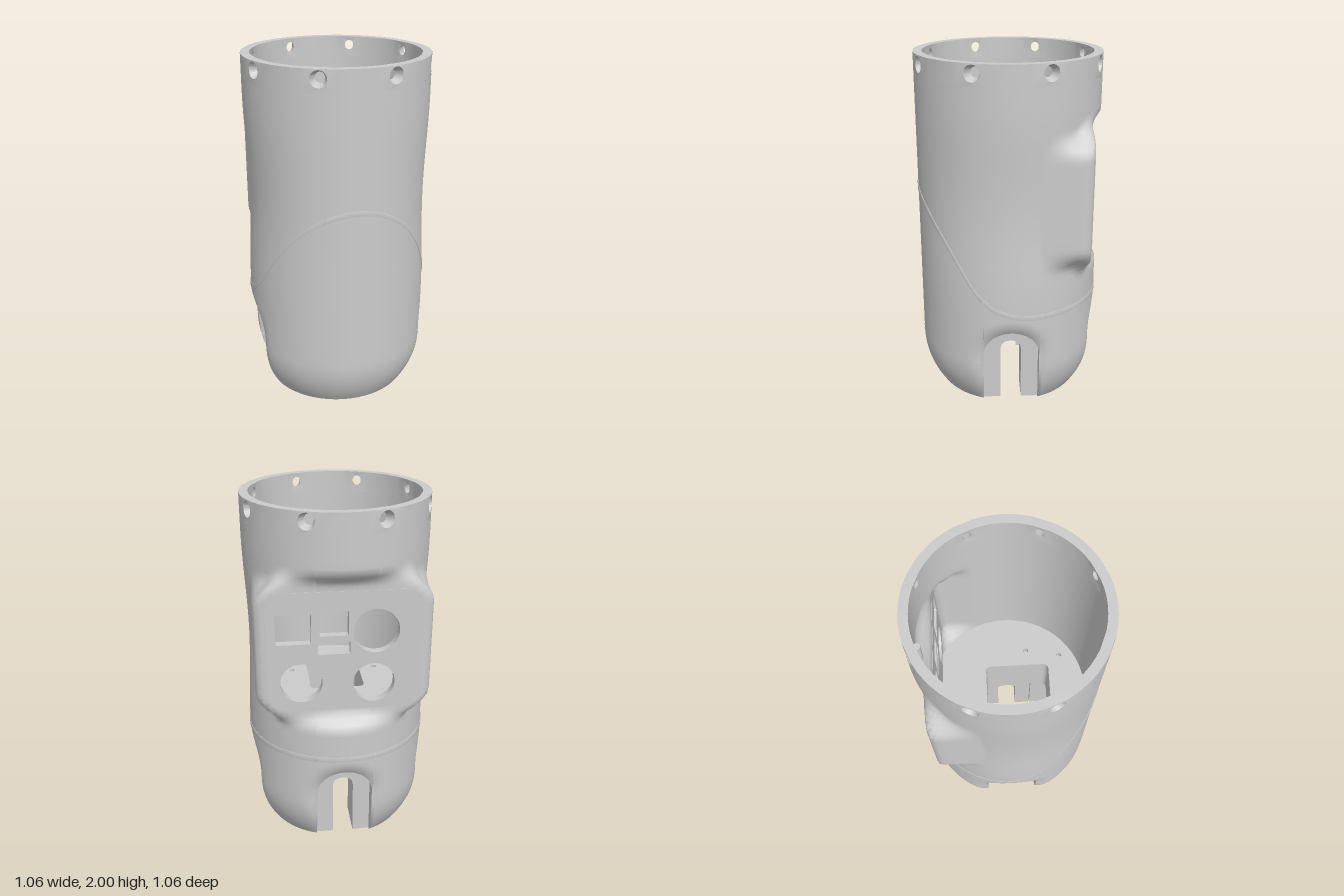
import * as THREE from 'three';
import { mergeGeometries, mergeVertices, toCreasedNormals } from 'three/addons/utils/BufferGeometryUtils.js';

const { sin, cos, PI, abs, hypot, min, max, asin } = Math;
const smooth = THREE.MathUtils.smoothstep;
const mix = THREE.MathUtils.lerp;
const material = new THREE.MeshStandardMaterial({ color: 0xcccccc, side: THREE.DoubleSide });

const NOTCH = 0.16, ARCH_Y = 0.33, NOMINAL = 0.5, BAND_Y = 1.88;
const PANEL_Y = 1.23, FLOOR_Y = 0.85;
const notchAngle = asin(NOTCH / NOMINAL);

// Rounded rectangle distance, used for the rear panel outline
function rectDistance(x, y, hw, hh, r) {
  const qx = abs(x) - hw + r, qy = abs(y) - hh + r;
  return hypot(max(qx, 0), max(qy, 0)) + min(max(qx, qy), 0) - r;
}

// Radius of the tube with a flat rear panel that has side wings
function panelRadius(th, y, base, hw, back) {
  if (cos(th) >= 0) return base;
  const s = abs(sin(th)) / hw, c = -cos(th) / back;
  const box = Math.pow(s ** 20 + c ** 20, -1 / 20);
  const target = c > s ? box : max(base, box);
  const d = rectDistance(target * sin(th), y - PANEL_Y, 0.55, 0.42, 0.25);
  return mix(base, target, 1 - smooth(d, -0.05, 0.04));
}

// Outer skin: tapered foot, slight waist, rear panel, softened notch rims
function outer({ q, rel }, y, lift = 0) {
  const th = q * PI / 2 + rel;
  let r = y < 0.3 ? 0.43 + 0.095 * (1 - (1 - y / 0.3) ** 2.2) : 0.525;
  if (y > 0.6 && y < 1.8) r -= 0.02 * sin(th) ** 2 * sin(PI * (y - 0.6) / 1.2) ** 2;
  r = panelRadius(th, y, r, 0.485, 0.445) + lift;
  let a = rel;
  if (q && y < 0.7) {
    const l = NOMINAL * sin(rel);
    const d = (y > ARCH_Y ? hypot(l, y - ARCH_Y) : abs(l)) - NOTCH;
    const t = THREE.MathUtils.clamp(1 - d / 0.09, 0, 1);
    r -= 0.03 * t * t * smooth(y, -0.05, 0.3);
    const fade = (1 - smooth(abs(rel), 0.35, 0.75)) * (1 - smooth(y, 0.5, 0.7));
    a += (asin(l / r) - rel) * fade;
  }
  return [r * sin(q * PI / 2 + a), y, r * cos(q * PI / 2 + a)];
}

function inner({ q, rel }, y) {
  const th = q * PI / 2 + rel, r = panelRadius(th, y, 0.475, 0.44, 0.4);
  return [r * sin(th), y, r * cos(th)];
}

// Columns around the tube; those over a notch start at its arch
const columns = [];
for (let q = 0; q < 4; q++) {
  const side = (a, b) => {
    for (let i = 0; i <= 10; i++) columns.push({ q, rel: mix(a, b, i / 10), y0: 0 });
  };
  side(-PI / 4, -notchAngle);
  for (let i = 0; i <= 20; i++) {
    const f = PI * i / 20;
    columns.push({ q, rel: asin(-NOTCH * cos(f) / NOMINAL), y0: q ? ARCH_Y + NOTCH * sin(f) : 0 });
  }
  side(notchAngle, PI / 4);
}

// Surface through a grid of points, smooth shaded
function sheet(grid, flip = false, skip = () => false) {
  const n = grid[0].length, index = [];
  for (let i = 0; i + 1 < grid.length; i++) for (let j = 0; j + 1 < n; j++) {
    const p = grid[i][j], o = grid[i + 1][j + 1];
    if (skip((p[0] + o[0]) / 2, (p[1] + o[1]) / 2, (p[2] + o[2]) / 2)) continue;
    const a = i * n + j, b = a + n;
    index.push(...(flip ? [a, b + 1, b, a, a + 1, b + 1] : [a, b, b + 1, a, b + 1, a + 1]));
  }
  let g = new THREE.BufferGeometry();
  g.setAttribute('position', new THREE.Float32BufferAttribute(grid.flat(2), 3));
  g.setIndex(index);
  g = mergeVertices(g, 1e-5);
  g.computeVertexNormals();
  return g;
}

const shapeOf = pts => new THREE.Shape(pts.map(p => new THREE.Vector2(...p)));
const extrude = (shape, depth) => new THREE.ExtrudeGeometry(shape, { depth, bevelEnabled: false, curveSegments: 20 });
const raised = (shape, y, h) => extrude(shape, h).rotateX(-PI / 2).translate(0, y, 0);

function roundedRect(path, x0, y0, x1, y1, r) {
  path.moveTo(x0 + r, y0).lineTo(x1 - r, y0).quadraticCurveTo(x1, y0, x1, y0 + r)
    .lineTo(x1, y1 - r).quadraticCurveTo(x1, y1, x1 - r, y1)
    .lineTo(x0 + r, y1).quadraticCurveTo(x0, y1, x0, y1 - r)
    .lineTo(x0, y0 + r).quadraticCurveTo(x0, y0, x0 + r, y0);
  return path;
}
const circle = (x, y, r) => new THREE.Path().absarc(x, y, r, 0, 2 * PI, true);
const arc = (r, a, b, n = 24) => Array.from({ length: n + 1 }, (_, i) => {
  const t = mix(a, b, i / n);
  return [r * cos(t), r * sin(t)];
});

// One curved slice of the top band, optionally with a countersunk hole
function bandTile(a, half, hole) {
  const R = 0.525, w = half * R, cy = 1.95;
  const s = shapeOf([[-w, BAND_Y], [w, BAND_Y], [w, 2], [-w, 2]]);
  if (hole) s.holes.push(circle(0, cy, 0.028));
  const g = extrude(s, 0.05), p = g.attributes.position;
  for (let i = 0; i < p.count; i++) {
    let x = p.getX(i), y = p.getY(i);
    const z = p.getZ(i);
    if (hole && z > 0.01 && hypot(x, y - cy) < 0.035) { x *= 1.6; y = cy + (y - cy) * 1.6; }
    const th = a + x / R, r = 0.475 + z;
    p.setXYZ(i, r * sin(th), y, r * cos(th));
  }
  return g;
}

export function createModel() {
  const group = new THREE.Group();
  const add = (name, g) => {
    const m = new THREE.Mesh(g, material);
    m.name = name;
    group.add(m);
  };

  // Tube walls, open behind the panel plate
  const open = (x, y, z) => z < -0.3 && rectDistance(x, y - 1.225, 0.39, 0.315, 0.1) < 0;
  const upper = [];
  for (let i = 0; i <= 46; i++) upper.push(mix(0.57, BAND_Y, i / 46));
  add('outerWall', sheet(columns.map(c => {
    const low = Array.from({ length: 16 }, (_, i) => mix(c.y0, 0.57, i / 16));
    return [...low, ...upper].map(y => outer(c, y));
  }), false, open));
  add('innerWall', sheet(columns.map(c =>
    Array.from({ length: 41 }, (_, i) => inner(c, mix(0.75, BAND_Y, i / 40)))), true, open));

  // Top band with eight screw holes
  const tiles = [], holeHalf = PI / 30, gap = PI / 4 - 2 * holeHalf;
  for (let k = 0; k < 8; k++) {
    const a = (k + 0.5) * PI / 4;
    tiles.push(bandTile(a, holeHalf, true));
    for (let i = 0; i < 6; i++) tiles.push(bandTile(a + holeHalf + gap * (i + 0.5) / 6, gap / 12, false));
  }
  add('topBand', toCreasedNormals(mergeGeometries(tiles), 0.6));

  // Rear connector panel
  const panel = roundedRect(new THREE.Shape(), -0.42, 0.88, 0.42, 1.57, 0.12);
  for (const [x0, y0, x1, y1] of [[0.18, 1.28, 0.37, 1.45], [-0.02, 1.32, 0.135, 1.46], [-0.03, 1.215, 0.145, 1.285]])
    panel.holes.push(roundedRect(new THREE.Path(), x0, y0, x1, y1, 0.008));
  for (const [x, y, r] of [[-0.17, 1.34, 0.125], [0.236, 1.05, 0.115], [-0.16, 1.035, 0.115]])
    panel.holes.push(circle(x, y, r));
  add('rearPanel', toCreasedNormals(extrude(panel, 0.049).translate(0, 0, -0.447), 0.5));

  // Inner floor with window and four screw pits
  const back = asin(0.42 / 0.476);
  const floorShape = () => {
    const s = shapeOf(arc(0.476, -PI - back, back, 64));
    s.holes.push(roundedRect(new THREE.Path(), -0.16, -0.26, 0.16, 0.13, 0.035));
    return s;
  };
  const pitted = floorShape();
  for (const s of [-1, 1]) pitted.holes.push(circle(s * 0.255, -0.125, 0.016), circle(s * 0.215, -0.33, 0.016));
  add('floor', raised(pitted, FLOOR_Y - 0.04, 0.04));
  add('floorCore', raised(floorShape(), 0.5, FLOOR_Y - 0.54));

  // Foot: solid corners around the underside cavity
  const a0 = asin(0.165 / 0.43);
  add('frontFoot', raised(shapeOf([...arc(0.43, -a0, -PI + a0),
    [-0.2, -0.165], [-0.2, -0.3], [0.2, -0.3], [0.2, -0.165]]), 0, 0.5));
  for (const s of [1, -1])
    add('rearFoot', raised(shapeOf([[0.16, 0.16], ...arc(0.43, a0, PI / 2 - a0)].map(([x, y]) => [s * x, y])), 0, 0.5));

  // Three notches: slotted block plus the wall joining it to the skin
  for (let q = 1; q < 4; q++) {
    const s = new THREE.Shape().moveTo(-0.16, 0).lineTo(-0.06, 0).lineTo(-0.06, 0.32)
      .quadraticCurveTo(-0.06, 0.38, 0, 0.38).quadraticCurveTo(0.06, 0.38, 0.06, 0.32)
      .lineTo(0.06, 0).lineTo(0.16, 0).lineTo(0.16, 0.5).lineTo(-0.16, 0.5);
    const start = q === 2 ? 0.17 : 0.2;
    add('slotBlock', toCreasedNormals(extrude(s, 0.385 - start).translate(0, 0, start).rotateY(q * PI / 2), 0.5));
    const rim = [];
    for (let i = 0; i < 10; i++) rim.push([-NOTCH, ARCH_Y * i / 10]);
    for (let i = 0; i <= 20; i++) rim.push([-NOTCH * cos(PI * i / 20), ARCH_Y + NOTCH * sin(PI * i / 20)]);
    for (let i = 9; i >= 0; i--) rim.push([NOTCH, ARCH_Y * i / 10]);
    const cq = cos(q * PI / 2), sq = sin(q * PI / 2);
    add('notchWall', sheet(rim.map(([l, y]) => [
      outer({ q, rel: asin(l / NOMINAL) }, y),
      [0.38 * sq + l * cq, y, 0.38 * cq - l * sq],
    ])));
  }

  // Seam lines: a sweeping trim strip and a thin ring near the foot
  const sweep = z => {
    const pts = [[-0.6, 0.595], [-0.1, 0.595], [0, 0.61], [0.1, 0.645], [0.2, 0.735], [0.35, 0.975], [0.53, 1.245]];
    const i = max(0, pts.findIndex(p => p[0] > z) - 1);
    return mix(pts[i][1], pts[i + 1][1], (z - pts[i][0]) / (pts[i + 1][0] - pts[i][0]));
  };
  add('trimStrip', sheet(columns.map(c => {
    const y = sweep(0.525 * cos(c.q * PI / 2 + c.rel));
    return [[-0.015, 0], [-0.015, 0.004], [0.015, 0.004], [0.015, 0]].map(([d, lift]) => outer(c, y + d, lift));
  })));
  add('footSeam', sheet(columns.map(c => [0.292, 0.298].map(y => outer(c, y, 0.002))), false,
    (x, y, z) => (abs(z) < NOTCH || (z < 0 && abs(x) < NOTCH))));

  // Small peg inside, above the panel
  add('peg', new THREE.CylinderGeometry(0.018, 0.018, 0.16, 16).translate(-0.09, 1.74, -0.455));
  return group;
}
